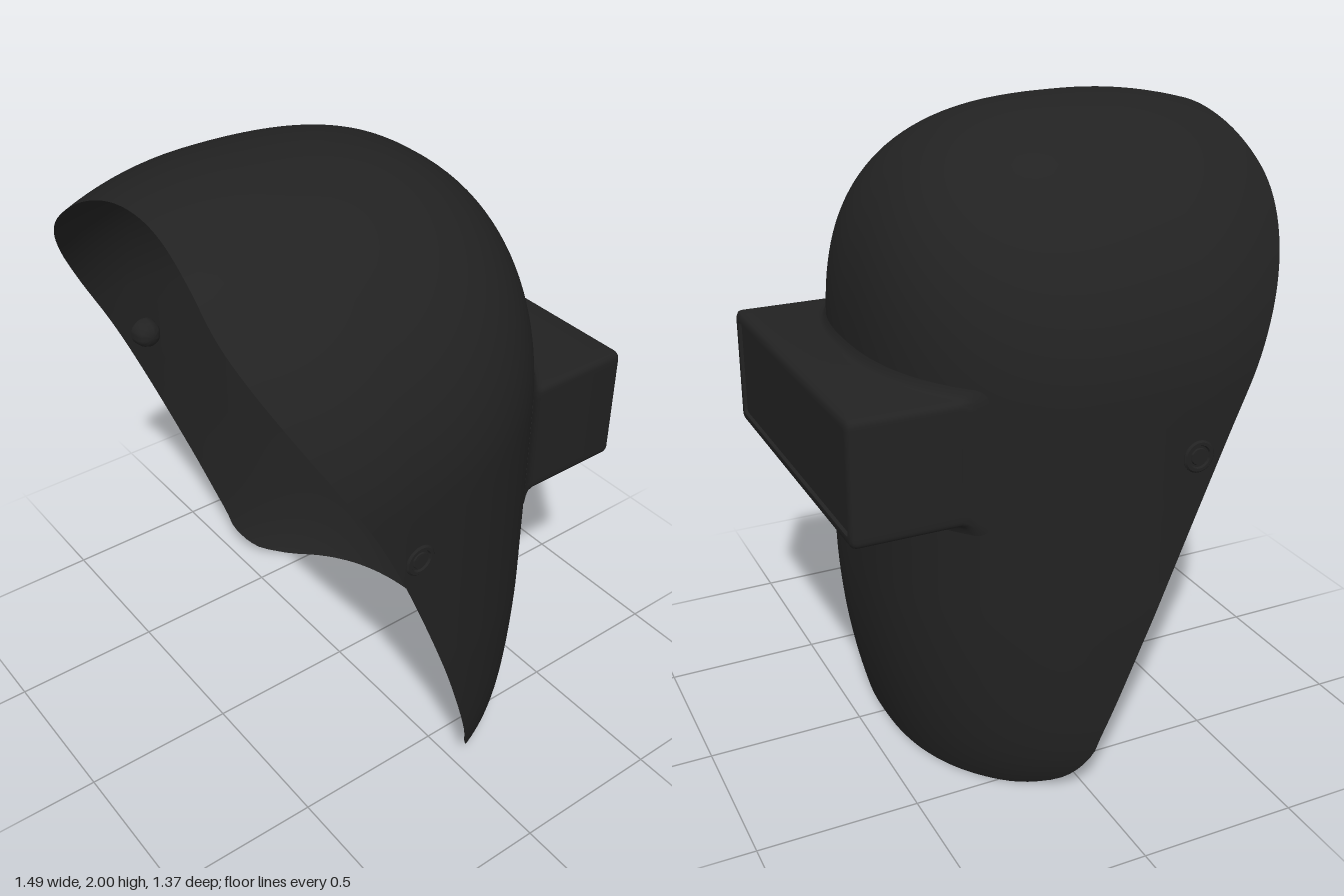
import * as THREE from 'three';
import { mergeVertices, toCreasedNormals } from 'three/addons/utils/BufferGeometryUtils.js';

const dark = new THREE.MeshStandardMaterial({ color: 0x222222, side: THREE.DoubleSide });
const N = 2.4;            // roundness of the horizontal section
const C = 0.3;            // z of the widest point
const SPLIT = 0.734;      // section angle at the side of the window opening
const INNER = 16, OUTER = 22;
const WIN = { y: 1.1, hx: 0.53, hy: 0.19 };

// Side outline of the open rim, as (z, y)
const rim = new THREE.SplineCurve([
  [-0.2, 0], [-0.14, 0.01], [-0.06, 0.045], [0, 0.13], [0.03, 0.235], [0.14, 0.55],
  [0.277, 0.9], [0.39, 1.16], [0.51, 1.39], [0.6, 1.57], [0.66, 1.72], [0.685, 1.83],
  [0.678, 1.93], [0.66, 2],
].map(p => new THREE.Vector2(...p))).getPoints(400);

function rimZ(y) {
  const i = rim.findIndex(p => p.y >= y);
  if (i < 0) return rim[rim.length - 1].x;
  if (i === 0) return rim[0].x;
  const a = rim[i - 1], b = rim[i];
  return a.x + (b.x - a.x) * (y - a.y) / (b.y - a.y);
}

// Half width and depth of the section at height y: domed above, tucked in below
function section(y) {
  const t = Math.min(1, Math.max(0, (y - 1.25) / 0.75));
  const k = Math.max(0, 1 - y / 0.6);
  return {
    w: (0.74 - 0.02 * k - 0.06 * k ** 6) * Math.sqrt(1 - t * t),
    d: (0.79 - 0.08 * k * k) * (1 - t ** 2.8) ** (1 / 2.8),
    t,
  };
}

function shellPoint(y, j) {
  const { w, d, t } = section(y);
  const z1 = rimZ(y), m = Math.abs(j);
  const end = z1 < C ? Math.acos(Math.min(1, (C - z1) / d) ** (N / 2)) : Math.PI / 2 + (z1 - C) / 0.6;
  const a = m <= INNER ? SPLIT * m / INNER : SPLIT + (end - SPLIT) * (m - INNER) / OUTER;
  if (a <= Math.PI / 2) {
    return [Math.sign(j) * w * Math.sin(a) ** (2 / N), y, C - d * Math.max(0, Math.cos(a)) ** (2 / N)];
  }
  // behind the widest point the sides taper and the crown droops
  const e = (a - Math.PI / 2) * 0.6;
  return [Math.sign(j) * w * (1 - 0.9 * e * e), y - 0.05 * t * (e / 0.36) ** 2, C + e];
}

function indexed(pos, index) {
  const g = new THREE.BufferGeometry();
  g.setAttribute('position', new THREE.Float32BufferAttribute(pos, 3));
  g.setIndex(index);
  return g;
}

// Face shield with a window opening
function shellGeometry() {
  const lo = WIN.y - WIN.hy, hi = WIN.y + WIN.hy, ys = [];
  for (let i = 0; i < 10; i++) ys.push(0.15 * (i / 10) ** 2);
  for (let i = 0; i < 18; i++) ys.push(0.15 + (lo - 0.15) * i / 18);
  for (let i = 0; i < 8; i++) ys.push(lo + (hi - lo) * i / 8);
  const f0 = Math.asin((hi - 1.25) / 0.75);
  for (let i = 0; i <= 36; i++) ys.push(1.25 + 0.75 * Math.sin(f0 + (Math.PI / 2 - f0) * i / 36));
  const M = INNER + OUTER, cols = 2 * M + 1, pos = [], index = [];
  ys.forEach((y, r) => {
    for (let j = -M; j <= M; j++) {
      pos.push(...shellPoint(y, j));
      const open = r >= 28 && r < 36 && j >= -INNER && j < INNER;
      if (j === M || r === ys.length - 1 || open) continue;
      const a = r * cols + j + M, b = a + 1, c = a + cols, d = c + 1;
      index.push(a, c, b, b, c, d);
    }
  });
  const g = mergeVertices(indexed(pos, index), 1e-4);
  g.computeVertexNormals();
  return g;
}

// Rounded rectangle with subdivided edges
function rectLoop(hx, hy, r) {
  const corners = [[1, 1], [-1, 1], [-1, -1], [1, -1]], pts = [], out = [];
  corners.forEach(([sx, sy], k) => {
    for (let i = 0; i <= 4; i++) {
      const a = (k + i / 4) * Math.PI / 2;
      pts.push([sx * (hx - r) + r * Math.cos(a), sy * (hy - r) + r * Math.sin(a)]);
    }
  });
  pts.forEach((p, i) => {
    const q = pts[(i + 1) % pts.length], n = i % 5 === 4 ? 24 : 1;
    for (let s = 0; s < n; s++) out.push([p[0] + (q[0] - p[0]) * s / n, p[1] + (q[1] - p[1]) * s / n]);
  });
  return out;
}

// Window box: flared out of the shell, with a rounded lip and a small recess
function windowGeometry() {
  const { hx, hy } = WIN;
  const surfaceZ = (x, y) => {
    const { w, d } = section(y);
    return C - d * Math.max(0, 1 - (Math.abs(x) / w) ** N) ** (1 / N);
  };
  // [inset, corner radius, z, z measured from the shell surface]
  const rings = [
    [-0.03, 0.03, -0.001, true], [-0.012, 0.025, -0.008, true], [-0.003, 0.022, -0.018, true],
    [0, 0.02, -0.035, true], [0, 0.02, -0.665], [0.003, 0.02, -0.675], [0.012, 0.018, -0.682],
    [0.03, 0.012, -0.682], [0.034, 0.01, -0.668], [0.04, 0.01, -0.668],
  ];
  const pos = [], index = [];
  let n = 0;
  rings.forEach(([inset, r, z, onShell], k) => {
    const loop = rectLoop(hx - inset, hy - inset, r);
    n = loop.length;
    loop.forEach(([x, y], i) => {
      pos.push(x, y + WIN.y, onShell ? surfaceZ(x, y + WIN.y) + z : z);
      if (k === rings.length - 1) return;
      const a = k * n + i, b = k * n + (i + 1) % n;
      index.push(a, a + n, b, b, a + n, b + n);
    });
  });
  return toCreasedNormals(indexed(pos, index), 0.7);
}

export function createModel() {
  const model = new THREE.Group();
  const add = (name, geometry) => {
    const mesh = new THREE.Mesh(geometry, dark);
    mesh.name = name;
    model.add(mesh);
    return mesh;
  };

  add('shell', shellGeometry());
  add('windowBox', windowGeometry());
  add('lens', new THREE.BoxGeometry(1, 0.32, 0.012)).position.set(0, WIN.y, -0.666);

  // Pivot knobs: ringed cap outside, domed head inside
  const profile = [
    [0, -0.058], [0.02, -0.055], [0.036, -0.045], [0.045, -0.028], [0.049, 0], [0.049, 0.006],
    [0.044, 0.011], [0.035, 0.011], [0.031, 0.003], [0.027, 0.003], [0.024, 0.009], [0, 0.01],
  ].map(p => new THREE.Vector2(...p));
  for (const side of [1, -1]) {
    const knob = add(side > 0 ? 'leftKnob' : 'rightKnob', toCreasedNormals(new THREE.LatheGeometry(profile, 32), 0.6));
    knob.position.set(side * 0.735, 1.095, 0.28);
    knob.rotation.z = -side * Math.PI / 2;
  }
  return model;
}
